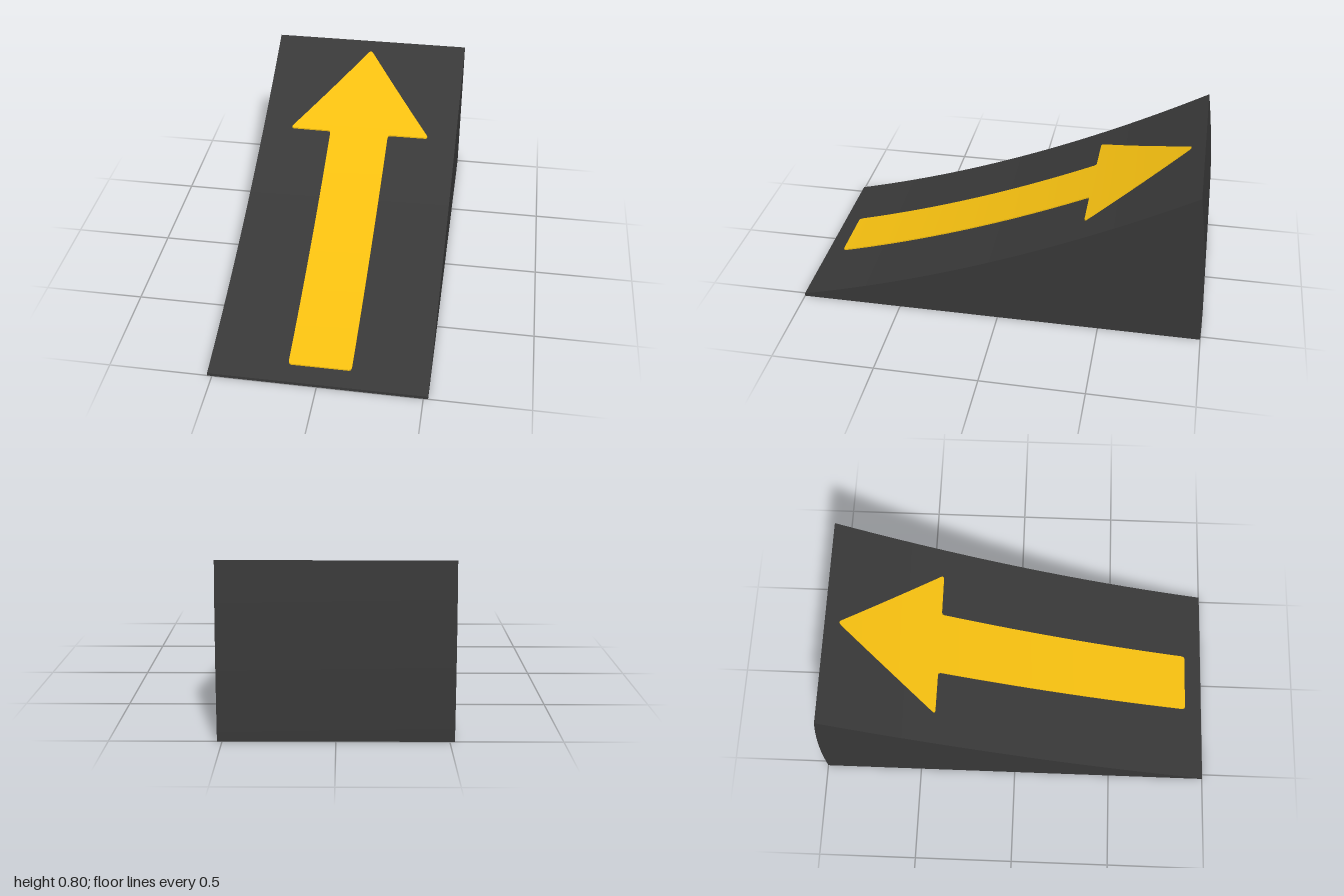
import * as THREE from 'three';
import { toCreasedNormals } from 'three/addons/utils/BufferGeometryUtils.js';

const WIDTH = 1.045;
const BACK_TOP = -0.94; // z of the upper rear edge
const HEIGHT = 0.8;

// Height of the curved riding surface at depth z
const slope = (z) => 0.345 - 0.4094 * z + 0.0794 * z * z;

// Solid wedge: concave top, slightly curved back, flat base
function rampGeometry() {
  const shape = new THREE.Shape();
  shape.moveTo(-1, 0);
  for (let i = 0; i <= 16; i++) { // back, base to crest
    const t = i / 16;
    shape.lineTo(1 - 0.06 * t * t, HEIGHT * t);
  }
  for (let i = 1; i <= 32; i++) { // top, crest to front lip
    const z = THREE.MathUtils.lerp(BACK_TOP, 1, i / 32);
    shape.lineTo(-z, slope(z));
  }
  shape.closePath();
  const geo = new THREE.ExtrudeGeometry(shape, { depth: WIDTH, bevelEnabled: false });
  geo.rotateY(Math.PI / 2);
  geo.translate(-WIDTH / 2, 0, 0);
  return toCreasedNormals(geo, 0.5);
}

// Thin arrow plate that follows the slope, lofted from rectangular sections
function arrowGeometry() {
  // [z, half width] from the foot to the tip, with small rounded corners
  const outline = [
    [0.91, 0.138], [0.907, 0.146], [0.897, 0.151],
    [-0.385, 0.156], [-0.394, 0.159], [-0.398, 0.167],
    [-0.399, 0.358], [-0.402, 0.366], [-0.407, 0.368], [-0.414, 0.364],
    [-0.858, 0.018], [-0.868, 0.01], [-0.873, 0.002],
  ];
  // Subdivide long runs so the plate bends smoothly
  const stations = [outline[0]];
  for (let i = 1; i < outline.length; i++) {
    const [z0, w0] = outline[i - 1], [z1, w1] = outline[i];
    const n = Math.ceil((z0 - z1) / 0.05);
    for (let k = 1; k <= n; k++) {
      stations.push([z0 + (z1 - z0) * k / n, w0 + (w1 - w0) * k / n]);
    }
  }
  const pos = [], index = [];
  for (const [z, w] of stations) {
    const lo = slope(z) - 0.006, hi = slope(z) + 0.007;
    pos.push(-w, lo, z, -w, hi, z, w, hi, z, w, lo, z);
  }
  const last = (stations.length - 1) * 4;
  for (let a = 0; a < last; a += 4) {
    for (let j = 0; j < 4; j++) {
      const k = (j + 1) % 4;
      index.push(a + j, a + k, a + 4 + k, a + j, a + 4 + k, a + 4 + j);
    }
  }
  index.push(0, 2, 1, 0, 3, 2, last, last + 1, last + 2, last, last + 2, last + 3);
  const geo = new THREE.BufferGeometry();
  geo.setAttribute('position', new THREE.Float32BufferAttribute(pos, 3));
  geo.setIndex(index);
  return toCreasedNormals(geo, 0.5);
}

export function createModel() {
  const group = new THREE.Group();
  group.name = 'ramp';
  const add = (name, geo, color) => {
    const mesh = new THREE.Mesh(geo, new THREE.MeshStandardMaterial({ color }));
    mesh.name = name;
    group.add(mesh);
    return mesh;
  };
  add('rampBody', rampGeometry(), 0x383838);
  add('arrow', arrowGeometry(), 0xf5bf10).position.x = 0.002;
  return group;
}
